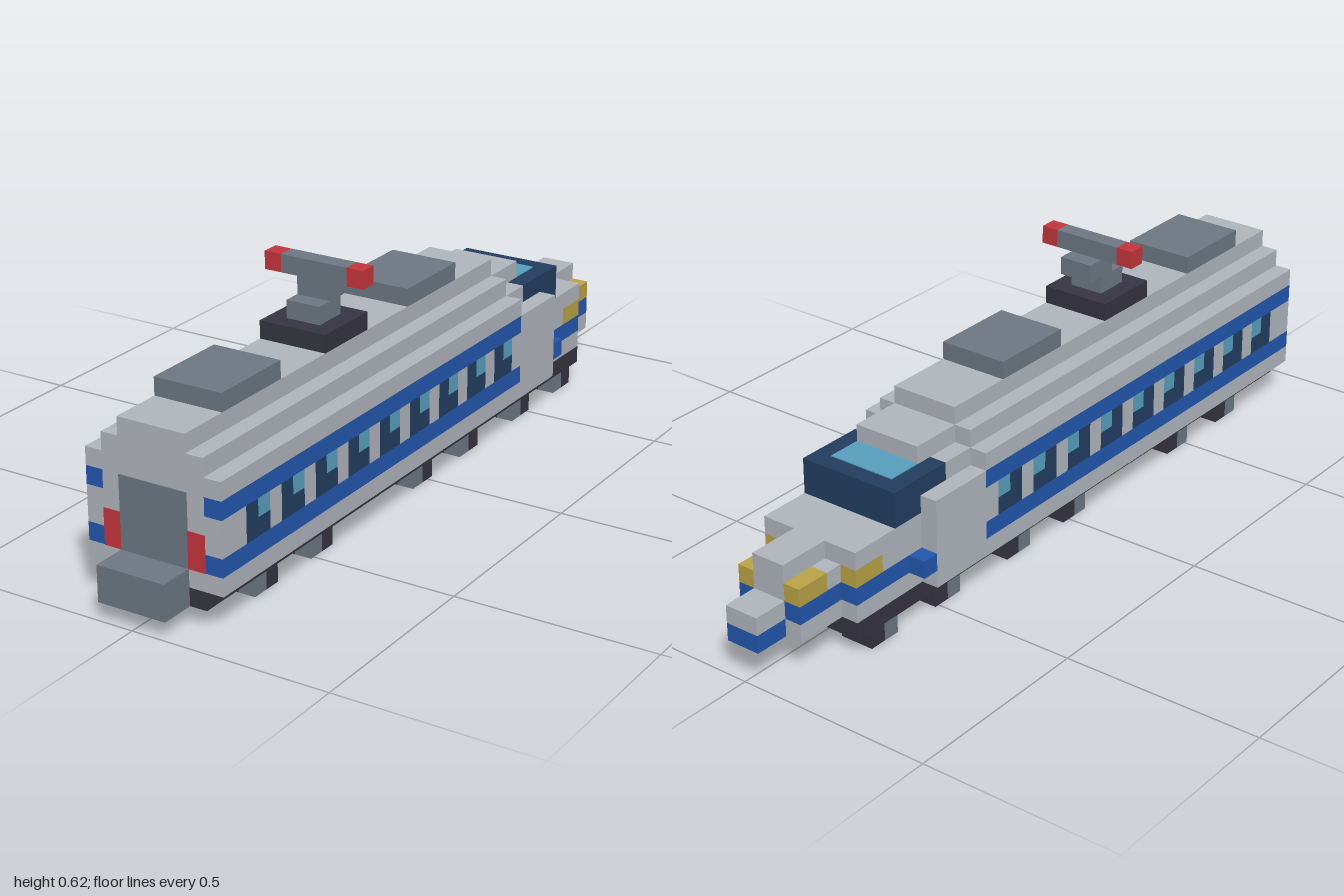
import * as THREE from 'three';

const U = 2 / 45; // one block

const mat = (name, color) => {
  const m = new THREE.MeshStandardMaterial({ color });
  m.name = name;
  return m;
};

export function createModel() {
  const train = new THREE.Group();
  train.name = 'train';
  const light = mat('lightGrey', 0xb1b6be);
  const grey = mat('midGrey', 0x6d7783);
  const dark = mat('charcoal', 0x363541);
  const blue = mat('stripeBlue', 0x2258ae);
  const navy = mat('navy', 0x223d60);
  const cyan = mat('glassCyan', 0x57a0bf);
  const red = mat('red', 0xc4363c);
  const yellow = mat('yellow', 0xbba347);

  // Box in block units: x range, y range, and k range counted from the +z end
  const box = (name, m, x0, x1, y0, y1, k0, k1) => {
    const g = new THREE.BoxGeometry((x1 - x0) * U, (y1 - y0) * U, (k1 - k0) * U);
    const mesh = new THREE.Mesh(g, m);
    mesh.position.set((x0 + x1) / 2 * U, (y0 + y1) / 2 * U, 1 - (k0 + k1) / 2 * U);
    mesh.name = name;
    train.add(mesh);
  };
  // Box centred on x = 0
  const mid = (name, m, w, ...r) => box(name, m, -w, w, ...r);
  // Box repeated on both sides
  const pair = (name, m, x0, x1, ...r) => {
    box(name + 'Left', m, x0, x1, ...r);
    box(name + 'Right', m, -x1, -x0, ...r);
  };

  // Chassis and wheels
  mid('chassis', dark, 3, 1, 2, 2, 40);
  for (const k of [6, 11, 21, 26, 32, 37]) {
    pair('wheelInner', dark, 1, 2, 0, 1, k, k + 2);
    pair('wheelCap', grey, 2, 3, 0, 1, k, k + 1);
    pair('wheelOuter', dark, 2, 3, 0, 1, k + 1, k + 2);
  }

  // Body core and stepped roof
  mid('bodyCore', light, 3, 2, 6, 2, 35);
  mid('upperBody', light, 3, 6, 8, 2, 33);
  mid('roofStep', light, 3, 8, 9, 2, 31);
  mid('roofTop', light, 2, 9, 10, 2, 31);
  mid('cabRoof', light, 2, 8, 9, 31, 34);

  // Side walls with stripes
  pair('sill', light, 3, 4, 2, 3, 2, 35);
  pair('lowerStripe', blue, 3, 4, 3, 4, 2, 31);
  pair('upperStripe', blue, 3, 4, 6, 7, 2, 31);
  pair('eaves', light, 3, 4, 7, 8, 2, 31);
  pair('cabWallLow', light, 3, 4, 3, 4, 31, 35);
  pair('cabWallHigh', light, 3, 4, 6, 7, 31, 35);
  pair('cabCornerBlock', blue, 3, 4, 3, 4, 35, 36);

  // Windows and the pillars between them
  pair('rearPillar', light, 3, 4, 4, 6, 2, 4);
  for (let i = 0; i < 9; i++) {
    const k = 4 + i * 3;
    pair('windowLower', navy, 3, 4, 4, 5, k, k + 2);
    pair('windowUpper', navy, 3, 4, 5, 6, k, k + 1);
    pair('windowGlint', cyan, 3, 4, 5, 6, k + 1, k + 2);
    pair('pillar', light, 3, 4, 4, 6, k + 2, i < 8 ? k + 3 : 35);
  }

  // End wall: door, lamps and gangway
  mid('endDoor', grey, 2, 3, 7, 1.95, 2);
  pair('tailLamp', red, 2, 3, 3, 5, 1.95, 2);
  mid('gangway', grey, 2, 1, 3, 0, 2);

  // Cab glazing
  mid('windscreen', navy, 3, 6, 8, 33, 37);
  mid('windscreenGlass', cyan, 2, 8, 8.05, 34, 36);

  // Nose, wide section
  mid('noseBase', light, 3, 2, 3, 35, 40);
  mid('noseStripe', blue, 3, 3, 4, 35, 40);
  mid('noseCore', light, 2, 4, 5, 35, 40);
  pair('noseCheek', light, 2, 3, 4, 5, 35, 38);
  pair('noseLamp', yellow, 2, 3, 4, 5, 38, 40);
  mid('noseTop', light, 3, 5, 6, 35, 40);

  // Nose, narrow section and tip
  mid('snoutBase', light, 2, 2, 3, 40, 43);
  mid('snoutStripe', blue, 2, 3, 4, 40, 43);
  mid('snoutCore', light, 1, 4, 6, 40, 43);
  pair('snoutCheek', light, 1, 2, 4, 5, 40, 41);
  pair('headLamp', yellow, 1, 2, 4, 5, 41, 43);
  mid('tipStripe', blue, 1, 2, 3, 43, 45);
  mid('tipTop', light, 1, 3, 4, 43, 45);

  // Roof pods and current collector
  for (const k of [5, 22]) mid('roofPod', grey, 2, 10, 11, k, k + 5);
  mid('collectorBase', dark, 2, 10, 11, 14, 18);
  mid('collectorLowerArm', grey, 1, 11, 12, 15, 17);
  mid('collectorUpperArm', grey, 1, 12, 13, 16, 18);
  mid('collectorBar', grey, 2, 13, 14, 16, 17);
  pair('collectorTip', red, 2, 3, 13, 14, 16, 17);

  return train;
}
